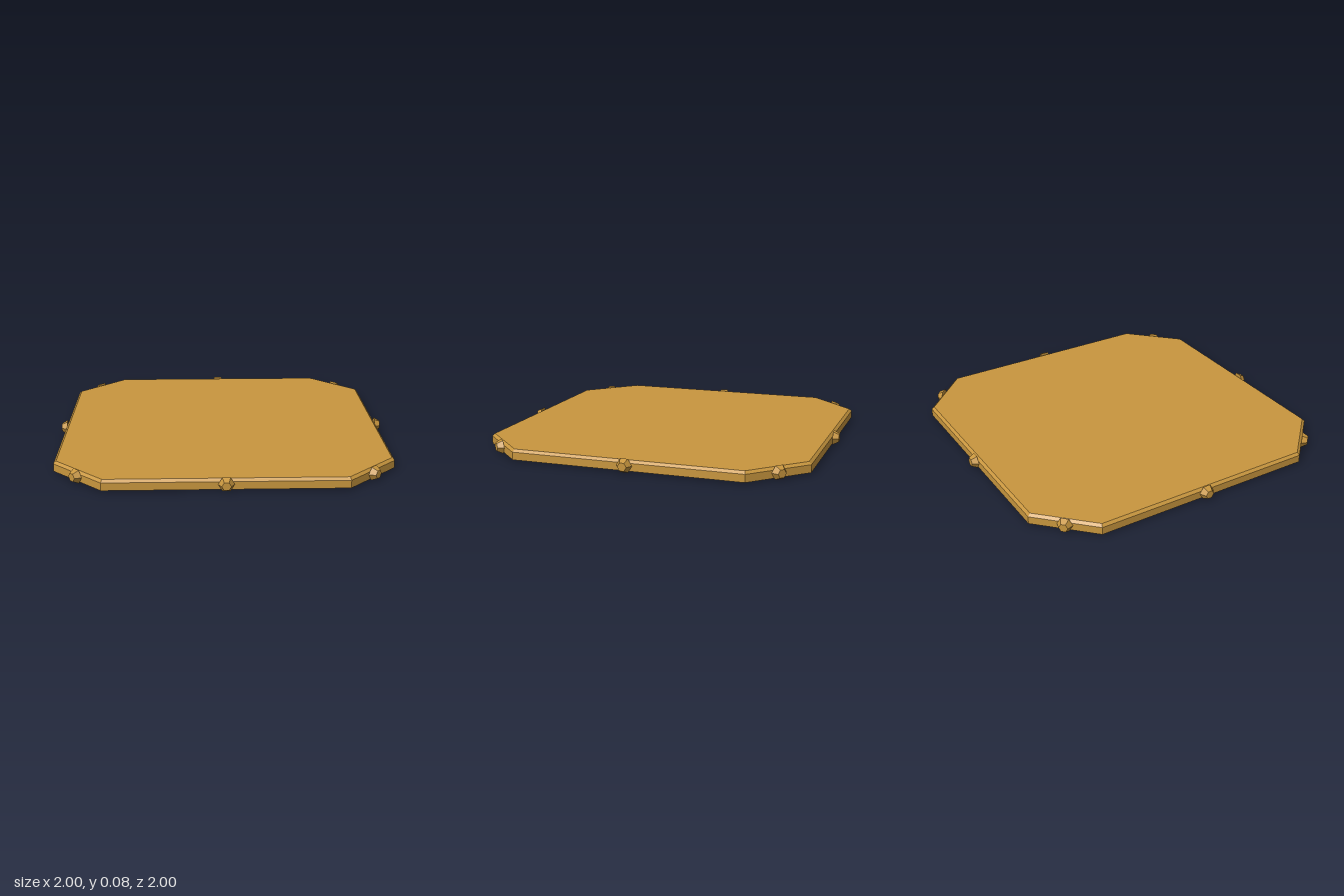
import * as THREE from 'three';

const gold = new THREE.MeshStandardMaterial({ color: 0xc8963e, flatShading: true });

// Corners of the clipped square, pulled in by an even inset, at height y
function octagon(inset, y) {
  const h = 0.965 - inset;
  const c = 0.675 - inset * (Math.SQRT2 - 1);
  return [[h, c], [c, h], [-c, h], [-h, c], [-h, -c], [-c, -h], [c, -h], [h, -c]]
    .map(([x, z]) => new THREE.Vector3(x, y, z));
}

// Joins stacked rings with side walls and closes both ends
function loft(rings) {
  const points = [];
  const n = rings[0].length;
  for (let r = 0; r < rings.length - 1; r++) {
    for (let i = 0; i < n; i++) {
      const j = (i + 1) % n;
      const [a, b] = [rings[r][i], rings[r][j]];
      const [c, d] = [rings[r + 1][i], rings[r + 1][j]];
      points.push(a, c, b, b, c, d);
    }
  }
  const bottom = rings[0];
  const top = rings[rings.length - 1];
  for (let i = 1; i < n - 1; i++) {
    points.push(bottom[0], bottom[i], bottom[i + 1]);
    points.push(top[0], top[i + 1], top[i]);
  }
  const geometry = new THREE.BufferGeometry().setFromPoints(points);
  geometry.computeVertexNormals();
  return geometry;
}

export function createModel() {
  const model = new THREE.Group();

  // Flat plate with a bevelled upper rim
  const plate = new THREE.Mesh(
    loft([octagon(0, 0.01), octagon(0, 0.055), octagon(0.015, 0.07)]), gold);
  plate.name = 'plate';
  model.add(plate);

  // Faceted stud, tapering outward along +z
  const studGeometry = new THREE.CylinderGeometry(0.026, 0.045, 0.035, 6);
  studGeometry.rotateY(Math.PI / 6);
  studGeometry.rotateX(Math.PI / 2);
  studGeometry.translate(0, 0, 0.0175);

  // One stud in the middle of each of the eight sides
  for (let i = 0; i < 8; i++) {
    const angle = i * Math.PI / 4;
    const reach = i % 2 ? 1.64 / Math.SQRT2 : 0.965;
    const stud = new THREE.Mesh(studGeometry, gold);
    stud.name = 'rimStud';
    stud.position.set(Math.sin(angle) * reach, 0.04, Math.cos(angle) * reach);
    stud.rotation.y = angle;
    model.add(stud);
  }
  return model;
}
